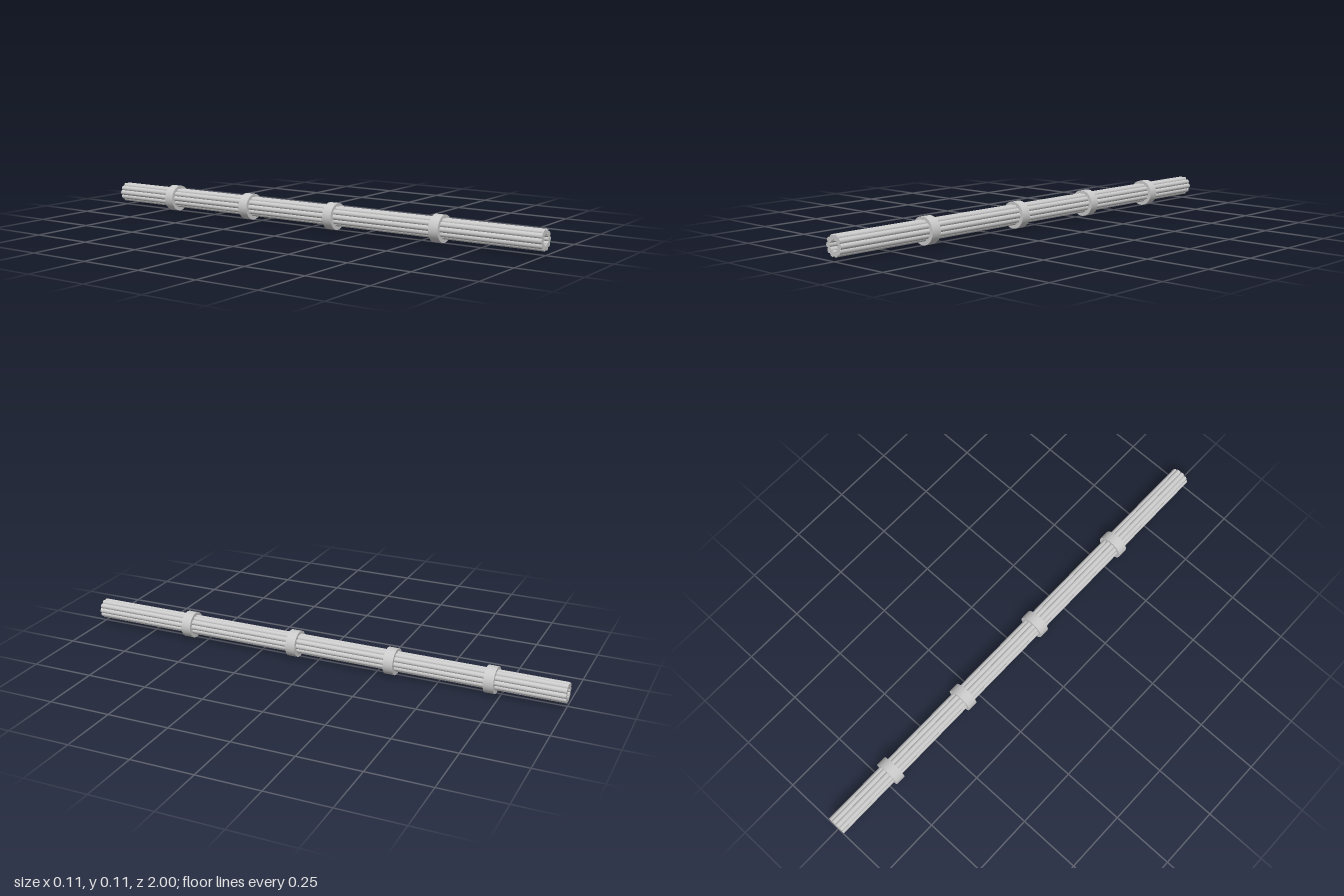
import * as THREE from 'three';

export function createModel() {
  const group = new THREE.Group();
  const material = new THREE.MeshStandardMaterial({ color: 0xcccccc });
  const axisY = 0.053;

  // Cylinder lying along z
  function rod(name, radius, length, sides, x, y, z) {
    const geometry = new THREE.CylinderGeometry(radius, radius, length, sides).rotateX(Math.PI / 2);
    const mesh = new THREE.Mesh(geometry, material);
    mesh.name = name;
    mesh.position.set(x, y, z);
    group.add(mesh);
  }

  // Ring of overlapping rods around a hollow core
  const count = 10;
  for (let i = 0; i < count; i++) {
    const a = (i / count) * Math.PI * 2;
    rod('bundleRod' + (i + 1), 0.0107, 2, 20,
      0.0297 * Math.cos(a), axisY + 0.002 + 0.0297 * Math.sin(a), 0);
  }

  // Solid binding collars, which also close the core
  [0.577, 0.104, -0.31, -0.71].forEach((z, i) => {
    rod('collar' + (i + 1), 0.053, 0.04, 48, 0, axisY, z);
  });

  return group;
}
